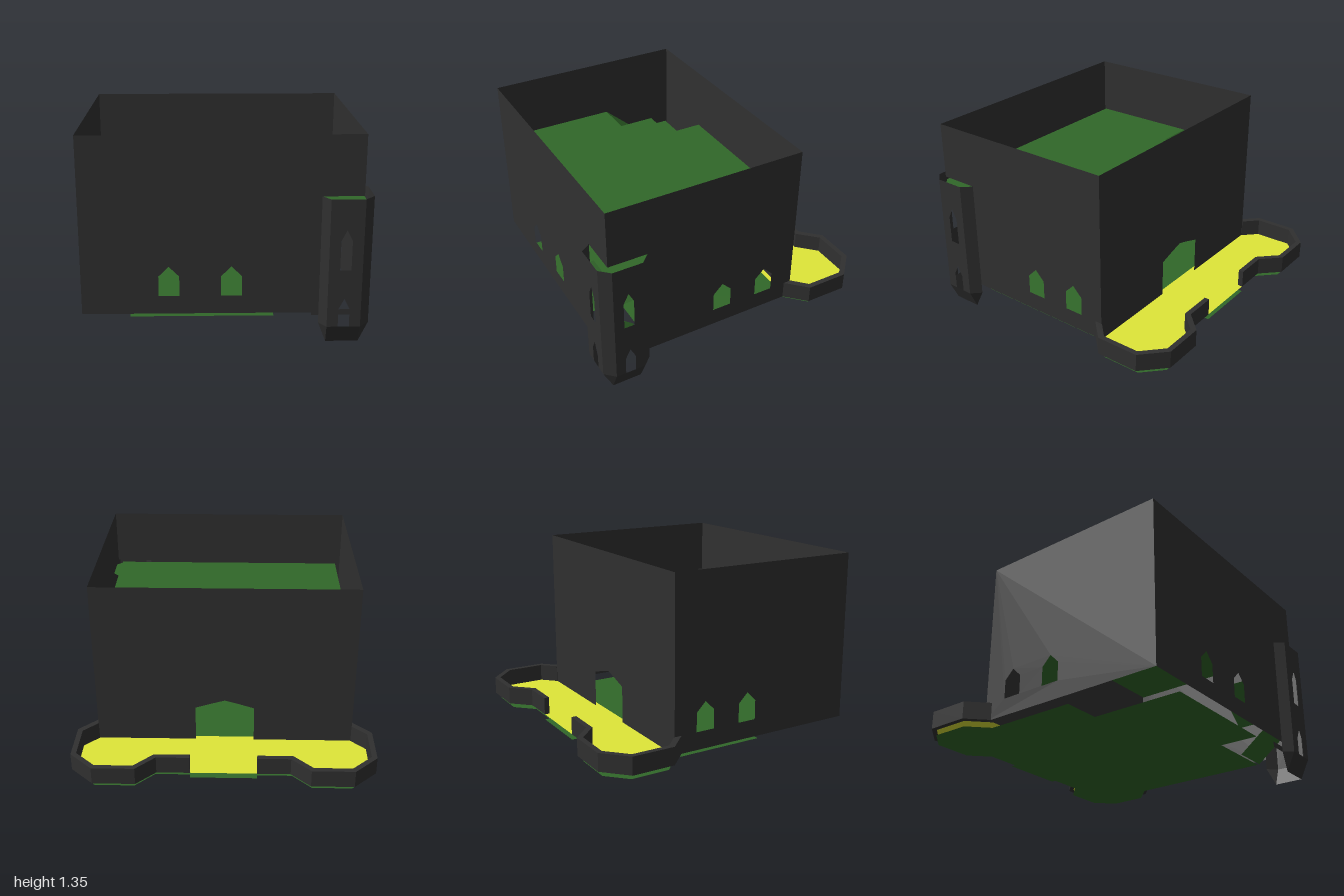
import * as THREE from 'three';

export function createModel() {
  const model = new THREE.Group();
  const mat = (name, color) => {
    const m = new THREE.MeshStandardMaterial({ color, side: THREE.DoubleSide, flatShading: true });
    m.name = name;
    return m;
  };
  const stone = mat('dark stone', 0x303030);
  const green = mat('floor green', 0x316829);
  const yellow = mat('terrace yellow', 0xe0e838);

  const add = (name, geometry, material) => {
    const mesh = new THREE.Mesh(geometry, material);
    mesh.name = name;
    model.add(mesh);
    return mesh;
  };
  const v2 = (pts) => pts.map(([x, y]) => new THREE.Vector2(x, y));

  // Pointed opening centred on u
  const arch = (u, w, y0, spring, peak) =>
    [[u - w / 2, y0], [u + w / 2, y0], [u + w / 2, spring], [u, peak], [u - w / 2, spring]];

  // Thin upright sheet running from a to b in plan; outline is [distance, height]
  const panel = (name, a, b, outline, holes = []) => {
    const shape = new THREE.Shape(v2(outline));
    holes.forEach((h) => shape.holes.push(new THREE.Path(v2(h))));
    const mesh = add(name, new THREE.ShapeGeometry(shape), stone);
    mesh.position.set(a[0], 0, a[1]);
    mesh.rotation.y = Math.atan2(a[1] - b[1], b[0] - a[0]);
  };

  // Horizontal sheet from an [x, z] outline
  const plate = (name, pts, y, material) => {
    const g = new THREE.ShapeGeometry(new THREE.Shape(v2(pts.map(([x, z]) => [x, -z]))));
    g.rotateX(-Math.PI / 2);
    add(name, g, material).position.y = y;
  };

  // Three- or four-cornered sheet
  const quad = (name, [a, b, c, d], material) => {
    const g = new THREE.BufferGeometry();
    g.setAttribute('position', new THREE.Float32BufferAttribute([a, b, c, a, c, d].flat(), 3));
    g.computeVertexNormals();
    add(name, g, material);
  };

  const W = 0.872, F = 0.902, B = -0.452, Y0 = 0.2, Y1 = 1.35, MID = 0.966, LOW = 0.162;
  const smallWindow = (u) => arch(u, 0.13, 0.32, 0.45, 0.515);

  // Main walls; the front and left ones are notched for the corner turret
  panel('frontWall', [-W, F], [W, F],
    [[0, Y0], [W + 0.615, Y0], [W + 0.615, MID], [2 * W, MID], [2 * W, Y1], [0, Y1]],
    [smallWindow(W - 0.325), smallWindow(W + 0.065)]);
  panel('leftWall', [W, B], [W, F],
    [[0, Y0], [0.64 - B, Y0], [0.64 - B, MID], [F - B, MID], [F - B, Y1], [0, Y1]],
    [smallWindow(-0.225 - B), smallWindow(0.097 - B)]);
  panel('rightWall', [-W, B], [-W, F],
    [[0, Y0], [F - B, Y0], [F - B, Y1], [0, Y1]],
    [smallWindow(-0.225 - B), smallWindow(0.097 - B)]);
  panel('backWall', [-W, B], [W, B],
    [[0, Y0], [W - 0.2, Y0], [W - 0.2, 0.455], [W - 0.1, 0.487], [W, 0.515],
      [W + 0.1, 0.487], [W + 0.2, 0.455], [W + 0.2, Y0], [2 * W, Y0], [2 * W, Y1], [0, Y1]]);

  // Terrace deck
  const mirror = (pts) => pts.map(([x, z]) => [-x, z]).reverse();
  const deckHalf = [[-0.833, -0.42], [-0.965, -0.55], [-0.965, -0.81], [-0.835, -0.935],
    [-0.575, -0.935], [-0.45, -0.81], [-0.22, -0.81], [-0.22, -0.842]];
  const deck = [...deckHalf, ...mirror(deckHalf)];
  plate('terraceDeck', deck, Y0, yellow);

  // Floors with stair openings; the lower one carries on under the terrace
  plate('lowerFloor', [...deck, [0.833, 0.59], [0.335, 0.59], [0.335, 0.86],
    [-0.575, 0.86], [-0.575, 0.22], [-0.833, 0.22]], LOW, green);
  plate('upperFloor', [[-0.32, -0.42], [0.833, -0.42], [0.833, 0.862], [-0.833, 0.862],
    [-0.833, 0.09], [-0.58, 0.09], [-0.58, -0.16], [-0.32, -0.16]], MID, green);
  plate('turretFloor', [[0.64, 0.66], [0.83, 0.66], [0.892, 0.72], [0.892, 0.88],
    [0.845, 0.925], [0.685, 0.925], [0.64, 0.87]], 0.93, green);

  // Ramps and landings
  plate('stairLanding', [[-0.833, -0.42], [-0.58, -0.42], [-0.58, -0.16], [-0.833, -0.16]], 0.75, green);
  quad('upperRamp', [[-0.833, 0.75, -0.16], [-0.833, MID, 0.09], [-0.58, MID, 0.09], [-0.58, 0.75, -0.16]], green);
  quad('lowerRamp', [[-0.58, 0.75, -0.42], [-0.58, 0.75, -0.16], [-0.32, 0.53, -0.16], [-0.32, 0.53, -0.42]], green);
  quad('turretRamp', [[0.575, LOW, 0.605], [0.575, 0.36, 0.86], [0.83, 0.36, 0.86], [0.83, LOW, 0.605]], green);
  quad('turretUpperRamp', [[0.575, 0.36, 0.605], [0.575, 0.36, 0.86], [0.32, 0.58, 0.86], [0.32, 0.58, 0.605]], green);
  quad('turretStep', [[0.575, LOW, 0.86], [0.83, LOW, 0.86], [0.83, Y0, 0.86], [0.575, Y0, 0.86]], stone);

  // Corner turret: five upright faces over a foot tapering back to the wall lines
  const rim = [[0.615, F], [0.66, 0.967], [0.87, 0.967], [0.932, F], [0.932, 0.7], [W, 0.638]];
  const foot = [[0.665, F], [0.665, F], [W, F], [W, F], [W, 0.705], [W, 0.705]];
  for (let i = 0; i < 5; i++) {
    const a = rim[i], b = rim[i + 1], c = foot[i + 1], d = foot[i];
    const len = Math.hypot(b[0] - a[0], b[1] - a[1]);
    const broad = i === 1 || i === 3;
    const u = len / 2;
    // Lower opening touches the foot, so it belongs to the outline
    const sill = broad
      ? [[u - 0.035, 0.13], [u - 0.035, 0.25], [u, 0.32], [u + 0.035, 0.25], [u + 0.035, 0.13]] : [];
    panel('turretFace', a, b, [[0, 0.13], ...sill, [len, 0.13], [len, MID], [0, MID]],
      broad ? [arch(u, 0.07, 0.51, 0.7, 0.77)] : []);
    quad('turretFoot', [[b[0], 0.13, b[1]], [a[0], 0.13, a[1]], [d[0], 0, d[1]], [c[0], 0, c[1]]], stone);
  }

  // Terrace parapets
  const parapet = [[-0.87, -0.4], [-1, -0.53], [-1, -0.82], [-0.845, -0.968], [-0.565, -0.968],
    [-0.44, -0.843], [-0.22, -0.843], [-0.22, -0.808], [-0.455, -0.808], [-0.58, -0.933],
    [-0.83, -0.933], [-0.965, -0.805], [-0.965, -0.548], [-0.87, -0.455]];
  [['rightParapet', parapet], ['leftParapet', mirror(parapet)]].forEach(([name, pts]) => {
    const shape = new THREE.Shape(v2(pts.map(([x, z]) => [x, -z])));
    const g = new THREE.ExtrudeGeometry(shape, { depth: 0.12, bevelEnabled: false });
    g.rotateX(-Math.PI / 2);
    add(name, g, stone).position.y = Y0;
  });

  return model;
}
